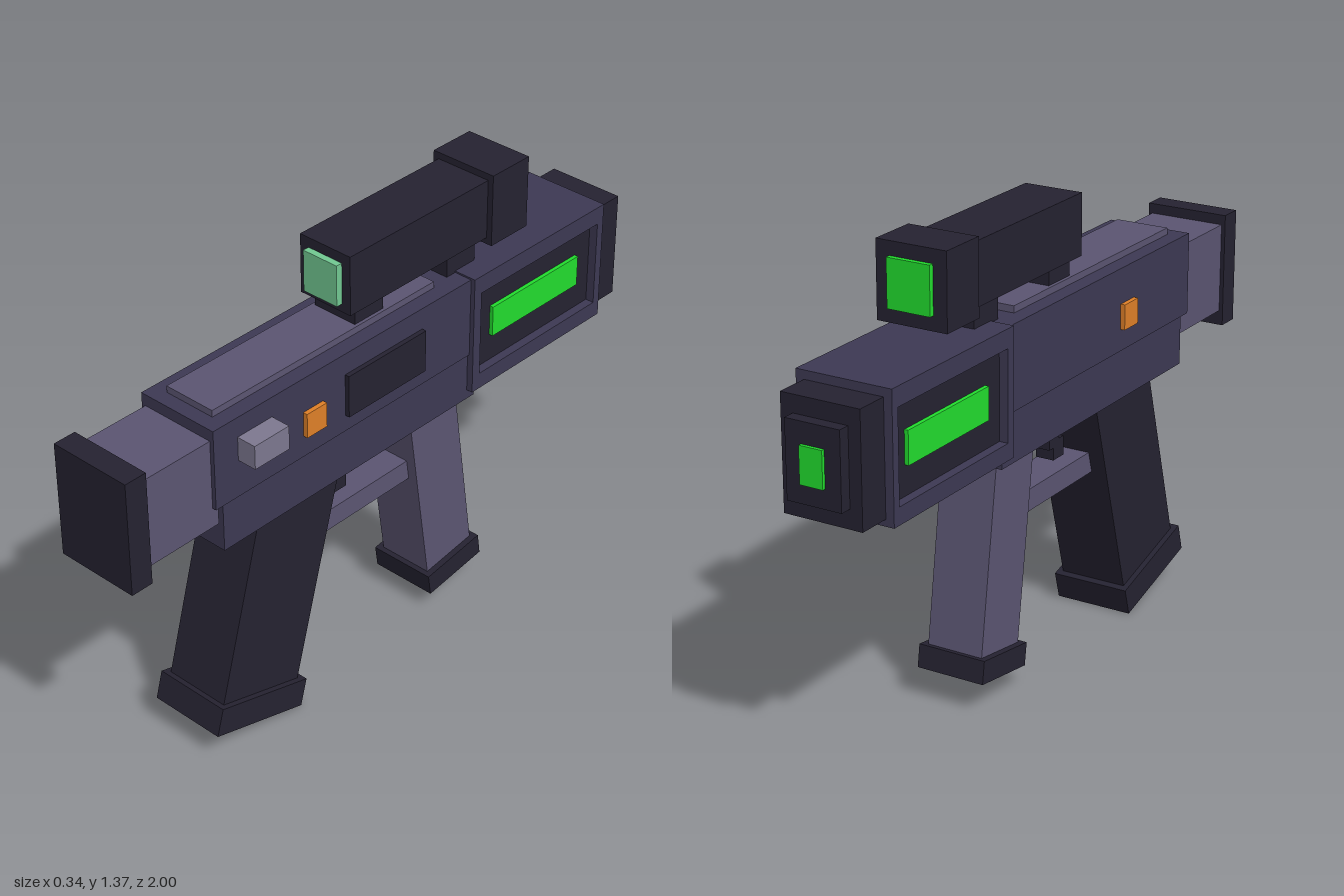
import * as THREE from 'three';

const CX = -0.025; // symmetry plane of the main body

const material = (color) => new THREE.MeshStandardMaterial({ color, flatShading: true });

export function createModel() {
  const group = new THREE.Group();
  const body = material(0x3d3953);
  const dark = material(0x252231);
  const mid = material(0x5b5572);
  const pale = material(0x7d7890);
  const orange = material(0xdf8028);
  const green = material(0x22dd2e);
  const glass = material(0x72c892);

  // Box from its extents along each axis
  function box(name, mat, x0, x1, y0, y1, z0, z1, parent = group) {
    const mesh = new THREE.Mesh(new THREE.BoxGeometry(x1 - x0, y1 - y0, z1 - z0), mat);
    mesh.position.set((x0 + x1) / 2, (y0 + y1) / 2, (z0 + z1) / 2);
    mesh.name = name;
    parent.add(mesh);
    return mesh;
  }
  // Box centred on the body's symmetry plane
  const mid_ = (name, mat, half, y0, y1, z0, z1) =>
    box(name, mat, CX - half, CX + half, y0, y1, z0, z1);

  // Stock and receiver
  mid_('buttPlate', dark, 0.13, 0.755, 1.1, 0.93, 1.0);
  mid_('stock', mid, 0.118, 0.8, 1.07, 0.68, 0.93);
  mid_('upperReceiver', body, 0.131, 0.86, 1.105, -0.29, 0.7);
  mid_('lowerReceiver', body, 0.125, 0.71, 0.86, -0.32, 0.67);
  mid_('topRail', mid, 0.083, 1.1, 1.125, -0.19, 0.655);

  // Front shroud: a frame open at both sides around a dark core
  const rect = (Type, z0, z1, y0, y1) => {
    const s = new Type();
    s.moveTo(z0, y0);
    s.lineTo(z1, y0);
    s.lineTo(z1, y1);
    s.lineTo(z0, y1);
    s.closePath();
    return s;
  };
  const frame = rect(THREE.Shape, -0.855, -0.29, 0.74, 1.11);
  frame.holes.push(rect(THREE.Path, -0.83, -0.32, 0.79, 1.055));
  const frameGeo = new THREE.ExtrudeGeometry(frame, { depth: 0.29, bevelEnabled: false });
  frameGeo.translate(0, 0, -0.145);
  frameGeo.rotateY(-Math.PI / 2);
  const shroud = new THREE.Mesh(frameGeo, body);
  shroud.name = 'shroud';
  shroud.position.x = CX;
  group.add(shroud);
  mid_('shroudCore', dark, 0.118, 0.785, 1.06, -0.835, -0.315);
  mid_('sideLights', green, 0.13, 0.875, 0.97, -0.765, -0.39);

  // Stepped muzzle
  mid_('muzzle', dark, 0.12, 0.76, 1.085, -0.955, -0.855);
  mid_('muzzleTip', dark, 0.083, 0.815, 1.035, -0.99, -0.955);
  mid_('muzzleLight', green, 0.035, 0.87, 0.975, -1.0, -0.99);

  // Scope
  mid_('scopeTube', dark, 0.09, 1.175, 1.355, -0.4, 0.15);
  mid_('scopeHood', dark, 0.108, 1.155, 1.375, -0.55, -0.4);
  mid_('eyepiece', glass, 0.06, 1.2, 1.325, 0.15, 0.17);
  mid_('frontLens', green, 0.066, 1.197, 1.335, -0.565, -0.55);
  mid_('rearScopeMount', dark, 0.073, 1.12, 1.168, 0.005, 0.115);
  mid_('frontScopeMount', dark, 0.073, 1.105, 1.168, -0.37, -0.255);

  // Side details
  mid_('sideButtons', orange, 0.145, 0.925, 1.0, 0.3, 0.375);
  box('sidePanel', dark, 0.09, 0.12, 0.91, 1.04, -0.09, 0.215);
  box('boltHandle', pale, 0.1, 0.167, 0.973, 1.045, 0.49, 0.615);

  // Leaning handles, each pivoting where it meets the receiver
  function handle(name, mat, z, tilt, half, depth, length, baseHalf, baseDepth, baseHeight) {
    const g = new THREE.Group();
    g.name = name;
    g.position.set(CX, 0.71, z);
    g.rotation.x = tilt;
    box(name + 'Shaft', mat, -half, half, -length, 0.08, -depth / 2, depth / 2, g);
    box(name + 'Base', dark, -baseHalf, baseHalf, -length - baseHeight, -length,
      -baseDepth / 2, baseDepth / 2, g);
    group.add(g);
  }
  handle('rearGrip', dark, 0.37, -0.276, 0.104, 0.298, 0.6, 0.121, 0.338, 0.086);
  handle('foreGrip', mid, -0.19, 0.144, 0.087, 0.19, 0.566, 0.106, 0.222, 0.068);

  // Trigger and its guard
  mid_('triggerGuard', mid, 0.055, 0.485, 0.55, -0.15, 0.3);
  mid_('trigger', dark, 0.03, 0.61, 0.72, 0.083, 0.137);
  mid_('triggerTip', dark, 0.029, 0.572, 0.63, 0.107, 0.162);

  return group;
}
